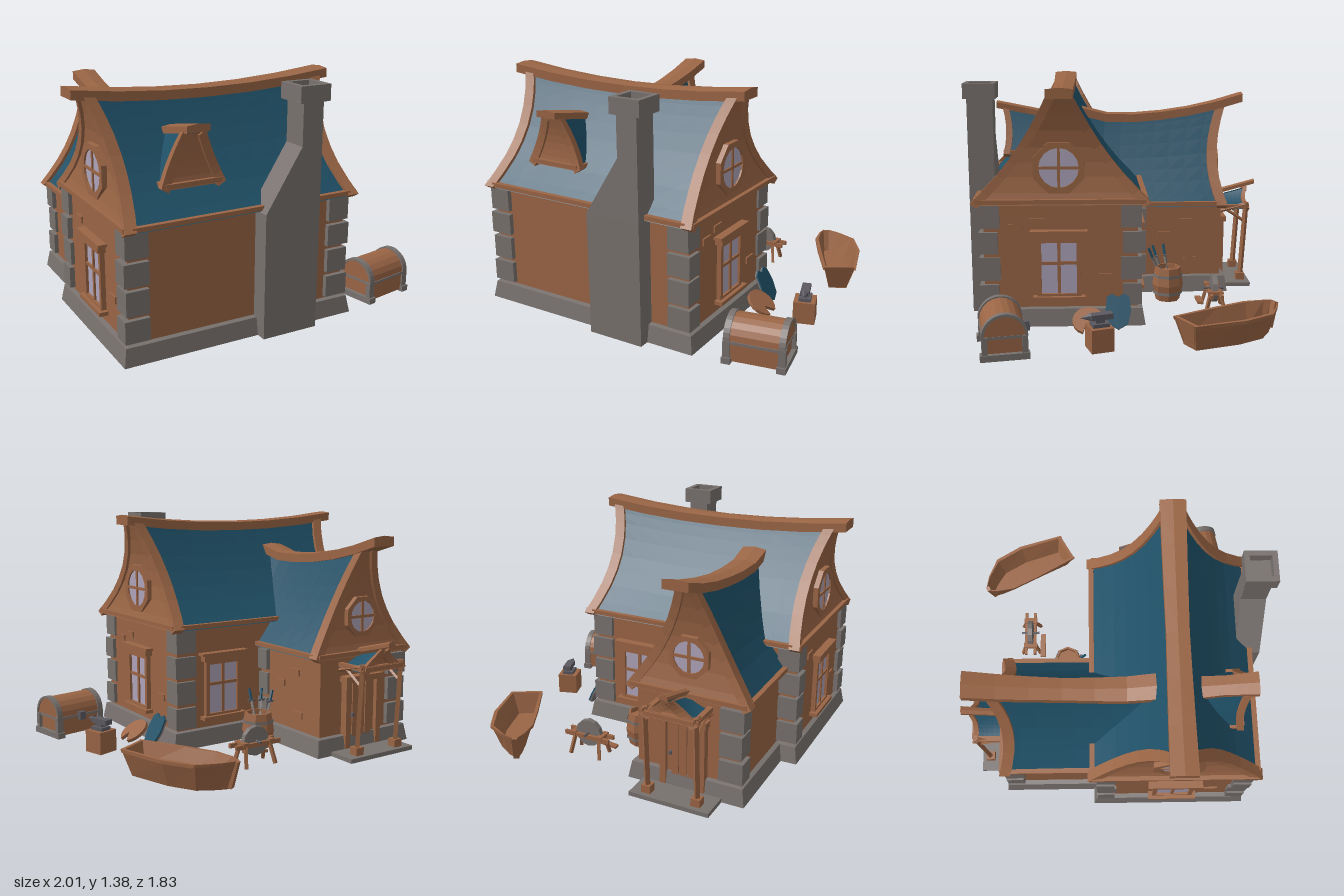
import * as THREE from 'three';

const mat = (name, color) => new THREE.MeshStandardMaterial({ name, color, flatShading: true, side: THREE.DoubleSide });
const wood = mat('wood', 0x9a6545), teal = mat('teal', 0x1f5067), stone = mat('stone', 0x78716e);
const glass = mat('glass', 0xaea4ba), iron = mat('iron', 0x5c5a60);
const V = (x, y, z) => new THREE.Vector3(x, y, z);
const points = list => list.map(p => new THREE.Vector2(...p));

function add(parent, name, geo, m, x = 0, y = 0, z = 0, rx = 0, ry = 0, rz = 0) {
  const mesh = new THREE.Mesh(geo, m);
  mesh.name = name;
  mesh.position.set(x, y, z);
  mesh.rotation.set(rx, ry, rz);
  parent.add(mesh);
  return mesh;
}
const box = (p, name, m, w, h, d, ...at) => add(p, name, new THREE.BoxGeometry(w, h, d), m, ...at);
const slab = (shape, depth) => new THREE.ExtrudeGeometry(shape, { depth, bevelEnabled: false, curveSegments: 8 });
function group(parent, name, x = 0, y = 0, z = 0, ry = 0) {
  const g = new THREE.Group();
  g.name = name;
  g.position.set(x, y, z);
  g.rotation.y = ry;
  parent.add(g);
  return g;
}

// Skins a row of cross-sections
function loft(rings, closed = true, caps = true) {
  const pos = [], n = rings[0].length;
  const tri = (...v) => v.forEach(p => pos.push(p.x, p.y, p.z));
  for (let i = 0; i + 1 < rings.length; i++)
    for (let j = 0; j < (closed ? n : n - 1); j++) {
      const k = (j + 1) % n, a = rings[i][j], b = rings[i][k], c = rings[i + 1][k], d = rings[i + 1][j];
      tri(a, b, c); tri(a, c, d);
    }
  if (closed && caps) for (const [r, flip] of [[rings[0], true], [rings[rings.length - 1], false]])
    for (let j = 1; j + 1 < n; j++) flip ? tri(r[0], r[j + 1], r[j]) : tri(r[0], r[j], r[j + 1]);
  const g = new THREE.BufferGeometry();
  g.setAttribute('position', new THREE.Float32BufferAttribute(pos, 3));
  g.computeVertexNormals();
  return g;
}
const steps = (n, f) => Array.from({ length: n + 1 }, (_, i) => f(i / n));

// Roof slopes: share of half width against share of height
const bell = new THREE.SplineCurve(points([[1, 0], [.7, .26], [.445, .54], [.23, .84], [.13, 1]]));
const straight = new THREE.SplineCurve(points([[1, 0], [.33, 1]]));

// Gable roof with its ridge along local x
function roof(parent, name, o, ...at) {
  const g = group(parent, name, ...at);
  const { x0, x1, half, eave, top, ridge, ends, rw = .075, rh = .06, flare = .06, trim = .065, curve = bell } = o;
  const surf = (t, x, side, off = 0) => {
    const p = curve.getPoint(t);
    return V(x, eave + (top(x) - .04 - eave) * p.y + off * .5, side * (half * p.x + off * .8));
  };
  const end = (e, t) => {
    const x = e < 0 ? x0 : x1;
    return ends.includes(e) ? x + e * flare * ((curve.getPoint(t).y - .45) / .5) ** 2 : x;
  };
  for (const s of [1, -1]) {
    add(g, 'roofSlope', loft(steps(8, t => steps(8, k =>
      surf(t, THREE.MathUtils.lerp(end(-1, t), end(1, t), k), s, -.012))), false), teal);
    box(g, 'eaveBoard', wood, x1 - x0, .025, .03, (x0 + x1) / 2, eave + .012, s * (half - .02));
    for (const e of ends) add(g, 'rakeBoard', loft(steps(8, t => {
      const x = end(e, t), i = x - e * trim;
      return [surf(t, x, s, .008), surf(t, i, s, .008), surf(t, i, s, -.045), surf(t, x, s, -.045)];
    })), wood);
  }
  // Gable panels flare with the rakes
  for (const e of ends) {
    add(g, 'gablePanel', loft(steps(8, t => [1, -1].map(s => surf(t, end(e, t) - e * .015, s, -.02))), false), wood);
    box(g, 'gableSoffit', wood, flare + .02, .025, half * 2 - .04, end(e, 0) - e * (flare + .02) / 2, eave + .012, 0);
  }
  // Sagging ridge beam, wider toward the ends
  add(g, 'ridgeBeam', loft(steps(6, k => {
    const x = THREE.MathUtils.lerp(ridge[0], ridge[1], k), y = top(x), w = rw * (.85 + .15 * Math.abs(2 * k - 1));
    return [V(x, y - rh, w), V(x, y - .008, w), V(x, y, 0), V(x, y - .008, -w), V(x, y - rh, -w)];
  })), wood);
  return g;
}

function rectWindow(parent, ...at) {
  const g = group(parent, 'window', ...at);
  box(g, 'windowGlass', glass, .21, .31, .008, 0, 0, .008);
  for (const s of [-1, 1]) {
    box(g, 'windowJamb', wood, .025, .34, .035, s * .113, 0, .01);
    box(g, 'windowRail', wood, .25, .02, .035, 0, s * .16, .01);
  }
  box(g, 'windowMullion', wood, .018, .32, .02, 0, 0, .012);
  box(g, 'windowCrossbar', wood, .21, .018, .02, 0, .03, .012);
  box(g, 'windowHeader', wood, .29, .035, .06, 0, .19, .015);
  box(g, 'windowCap', wood, .325, .015, .07, 0, .215, .015);
  box(g, 'windowSill', wood, .3, .022, .07, 0, -.175, .015);
}
function roundWindow(parent, r, ...at) {
  const g = group(parent, 'roundWindow', ...at);
  const s = new THREE.Shape(steps(7, k => {
    const a = (k * 7 + .5) * Math.PI / 4;
    return new THREE.Vector2(r * Math.cos(a), r * Math.sin(a));
  }));
  s.holes.push(new THREE.Path().absarc(0, 0, r * .73, 0, Math.PI * 2, true));
  add(g, 'roundFrame', slab(s, .03), wood);
  add(g, 'roundGlass', new THREE.CircleGeometry(r * .75, 16), glass, 0, 0, .02);
  box(g, 'roundMullion', wood, .016, r * 1.46, .014, 0, 0, .021);
  box(g, 'roundCrossbar', wood, r * 1.46, .016, .014, 0, 0, .021);
}

// Corners of the L-shaped plan, grown outward by d
const plan = (d, y) => [
  [-.875, .79, -1, 1], [.45, .79, 1, 1], [.45, -.085, 1, -1], [-.16, -.085, 1, -1],
  [-.16, -.655, 1, -1], [-.78, -.655, -1, -1], [-.78, -.085, -1, -1], [-.875, -.085, -1, -1],
].map(([x, z, sx, sz]) => V(x + sx * d, y, z + sz * d));

function cornerStones(parent, x, z, sx, sz, n) {
  for (let i = 0; i < n; i++) {
    const odd = i % 2, w = odd ? .13 : .14, d = odd ? .12 : .108;
    box(parent, 'cornerStone', stone, w, odd ? .135 : .125, d, x + sx * (.025 - w / 2 - odd * .008), .192 + i * .153, z + sz * (.028 - d / 2));
  }
}
function rod(parent, name, m, a, b, r, sides = 6) {
  const d = b.clone().sub(a), mesh = add(parent, name, new THREE.CylinderGeometry(r, r, d.length(), sides), m);
  mesh.position.copy(a).addScaledVector(d, .5);
  mesh.quaternion.setFromUnitVectors(V(0, 1, 0), d.normalize());
}

export function createModel() {
  const root = new THREE.Group(), R = Math.PI / 2;
  root.name = 'cottage';

  // Open-bottomed walls and stone footing
  const p = plan(0, 0), mainPlan = y => [p[0], p[1], p[2], p[7]].map(v => V(v.x, y, v.z));
  add(root, 'wallShell', loft([plan(0, .01), plan(0, .6)], true, false), wood);
  add(root, 'upperWalls', loft([mainPlan(.6), mainPlan(.74)], true, false), wood);
  add(root, 'footing', loft([plan(0, .01), plan(.045, .01), plan(.028, .11), plan(0, .115)], true, false), stone);

  // Roofs
  roof(root, 'mainRoof', { x0: -.86, x1: .455, half: .5, eave: .73, ridge: [-1, .57], ends: [-1, 1], top: x => 1.333 + .05 * ((x + .2) / .78) ** 2 }, 0, 0, .35);
  roof(root, 'wingRoof', { x0: -.2, x1: .64, half: .365, eave: .58, ridge: [-.25, .82], ends: [1], top: x => 1.14 + (x < 0 ? .8 : .2) * x * x }, -.47, 0, 0, R);
  roof(root, 'dormer', { x0: .45, x1: .725, half: .18, eave: .89, ridge: [.42, .79], ends: [1], rw: .065, rh: .045, flare: .02, trim: .04, curve: straight, top: x => 1.17 + .2 * (x - .52) }, -.47, 0, 0, -R);
  roof(root, 'porchRoof', { x0: .62, x1: .85, half: .165, eave: .52, ridge: [.62, .92], ends: [1], rw: .024, rh: .03, flare: .02, trim: .025, top: x => .62 + .27 * (x - .66) }, -.455, 0, 0, R);

  // Corner stones
  for (const [x, sx] of [[-.88, -1], [.447, 1]]) for (const [z, sz] of [[-.08, -1], [.79, 1]]) cornerStones(root, x, z, sx, sz, 4);
  cornerStones(root, -.78, -.655, -1, -1, 3);
  cornerStones(root, -.16, -.145, 1, -1, 3);

  // Windows
  for (const [x, ry] of [[.45, R], [-.875, -R]]) rectWindow(root, x, .35, .365, ry);
  for (const [x, ry] of [[.446, R], [-.851, -R]]) roundWindow(root, .155, x, .93, .36, ry);
  rectWindow(root, .14, .35, -.085, Math.PI);
  roundWindow(root, .125, -.47, .8, -.632, Math.PI);

  // Loose bricks in the plaster
  for (const [x, y, z] of [[.45, .585, .61], [.45, .62, .49], [.45, .29, .1], [-.16, .465, -.43], [-.16, .38, -.29], [-.16, .21, -.46], [-.875, .6, .14], [-.875, .3, .6]])
    box(root, 'wallBrick', wood, .02, .04, .08, x, y, z);

  // Chimney with a hollow cap
  box(root, 'chimneyBase', stone, .34, .71, .11, .04, .365, .84);
  const stack = new THREE.Shape(points([[-.13, .72], [.21, .72], [.21, 1.32], [.085, 1.32], [.085, 1.06]]));
  add(root, 'chimneyStack', slab(stack, .15), stone, 0, 0, .745);
  for (const s of [-1, 1]) {
    box(root, 'chimneyCap', stone, .03, .09, .185, .147 + s * .078, 1.338, .82);
    box(root, 'chimneyCap', stone, .185, .09, .03, .147, 1.338, .82 + s * .078);
  }

  // Door and porch
  const porch = group(root, 'porch', -.455, 0, -.655);
  box(porch, 'door', wood, .2, .37, .02, 0, .24, -.012);
  for (const x of [-.05, 0, .05]) box(porch, 'doorPlank', wood, .042, .36, .008, x, .24, -.026);
  box(porch, 'doorHeader', wood, .29, .035, .06, 0, .445, -.03);
  box(porch, 'doorKnob', iron, .015, .02, .02, .075, .23, -.035);
  box(porch, 'porchSlab', stone, .48, .025, .17, 0, .022, -.13);
  for (const s of [-1, 1]) {
    box(porch, 'doorJamb', wood, .035, .42, .045, s * .118, .23, -.025);
    rod(porch, 'porchPost', wood, V(s * .15, .03, -.16), V(s * .15, .56, -.19), .018, 4);
    box(porch, 'postFoot', wood, .055, .05, .055, s * .15, .055, -.16);
    rod(porch, 'porchBeam', wood, V(s * .15, .5, 0), V(s * .15, .55, -.2), .014, 4);
    rod(porch, 'porchBrace', wood, V(s * .15, .52, -.05), V(s * .15, .44, -.17), .01, 4);
  }
  box(porch, 'porchCrossbeam', wood, .34, .025, .025, 0, .535, -.19);

  // Iron-bound chest
  const chest = group(root, 'chest', .81, 0, .66, .18);
  box(chest, 'chestBody', wood, .3, .12, .22, 0, .08, 0);
  add(chest, 'chestLid', new THREE.CylinderGeometry(.115, .115, .32, 10, 1, false, 0, Math.PI).rotateZ(R), wood, 0, .135, 0);
  box(chest, 'chestBand', stone, .325, .015, .24, 0, .13, 0);
  for (const s of [-1, 1]) {
    const arch = new THREE.Shape().absarc(0, 0, .122, 0, Math.PI);
    arch.lineTo(-.108, 0);
    arch.absarc(0, 0, .108, Math.PI, 0, true);
    add(chest, 'lidBand', slab(arch, .035).rotateY(R), stone, s * .15 - .0175, .135, 0);
    box(chest, 'chestFoot', stone, .05, .035, .26, s * .15, .025, 0);
    for (const t of [-1, 1]) box(chest, 'chestCorner', stone, .04, .11, .03, s * .15, .08, t * .105);
  }
  box(chest, 'chestLock', iron, .04, .05, .03, 0, .13, -.13);

  // Rowing boat: flared, slightly lopsided hull from a few stations
  const boat = group(root, 'boat', .715, .015, -.585, 2.09);
  const section = (x, c, w, list) => list.map(([a, b]) => V(x * (.87 + .13 * b), .155 * b, c + w * a));
  const skin = [[-1, 1], [-1, .88], [-.9, .86], [-.55, 0], [.55, 0], [.9, .86], [1, .88], [1, 1], [.84, 1], [.5, .14], [-.5, .14], [-.84, 1]];
  add(boat, 'hull', loft([[-.32, 0, .1], [-.03, .035, .135], [.16, .037, .128], [.27, .014, .065], [.32, 0, .018]]
    .map(s => section(...s, skin)), true, false), wood);
  add(boat, 'transom', loft([-.317, -.297].map(x => section(x, 0, .099, [[-.95, 1], [-.55, 0], [.55, 0], [.95, 1]]))), wood);
  box(boat, 'stem', wood, .025, .15, .034, .3, .078, 0, 0, 0, -.25);

  // Anvil on a block
  const anvil = group(root, 'anvil', .84, 0, .14, .3);
  box(anvil, 'anvilBlock', wood, .125, .13, .125, 0, .075, 0);
  box(anvil, 'anvilBase', iron, .07, .02, .09, 0, .15, 0);
  box(anvil, 'anvilWaist', iron, .035, .025, .05, 0, .17, 0);
  box(anvil, 'anvilTop', iron, .05, .03, .12, 0, .193, -.01);
  add(anvil, 'anvilHorn', new THREE.ConeGeometry(.022, .06, 6), iron, 0, .195, .08, R);

  // Shields by the wall
  const face = new THREE.Shape(points([[0, -.105], [.055, -.075], [.073, 0], [.065, .08], [.035, .1], [0, .08], [-.035, .1], [-.065, .08], [-.073, 0], [-.055, -.075]]));
  const shield = group(root, 'shield', .53, .108, .03);
  shield.rotation.set(-.5, R, 0, 'YXZ');
  add(shield, 'shieldBack', slab(face, .01), stone);
  add(shield, 'shieldFace', slab(face, .009), teal, 0, 0, .01);
  const disc = new THREE.Shape().absarc(0, 0, .09, .45, Math.PI * 2 - .35);
  disc.lineTo(.025, -.015);
  const broken = group(root, 'brokenShield', .585, .068, .2);
  broken.rotation.z = -.6;
  add(broken, 'brokenShieldBoards', slab(disc, .02).rotateX(-R), wood);

  // Barrel of weapons
  const barrel = group(root, 'barrel', .02, 0, -.3);
  const stave = points([[.001, .01], [.075, .01], [.097, .11], [.08, .22], [.068, .22], [.068, .19], [.001, .19]]);
  add(barrel, 'barrelStaves', new THREE.LatheGeometry(stave, 8), wood);
  for (const y of [.06, .17]) add(barrel, 'barrelHoop', new THREE.CylinderGeometry(.093, .093, .018, 8, 1, true), stone, 0, y, 0);
  for (const [x, z, dx, dz] of [[-.03, .02, -.06, .07], [-.01, .03, -.01, .09], [-.04, -.01, -.08, .03]]) {
    const a = V(x, .12, z), b = V(x + dx * .7, .27, z + dz * .7), c = V(x + dx, .335, z + dz);
    rod(barrel, 'weaponBlade', stone, a, b, .01, 4);
    rod(barrel, 'weaponGrip', teal, b, c, .009, 5);
    box(barrel, 'weaponGuard', iron, .045, .01, .015, b.x, b.y, b.z);
  }

  // Grindstone on a trestle
  const grind = group(root, 'grindstone', .23, 0, -.56);
  add(grind, 'grindWheel', new THREE.CylinderGeometry(.085, .085, .032, 12).rotateX(R), stone, 0, .145, 0);
  rod(grind, 'grindAxle', iron, V(0, .145, -.06), V(0, .145, .06), .008);
  for (const s of [-1, 1]) {
    box(grind, 'grindRail', wood, .3, .025, .018, 0, .13, s * .03);
    box(grind, 'railTie', wood, .035, .02, .09, s * .09, .14, 0);
    for (const t of [-1, 1]) rod(grind, 'grindLeg', wood, V(s * .08, .13, t * .03), V(s * .1, .01, t * .06), .013, 4);
  }
  box(grind, 'footPlank', wood, .16, .015, .035, -.06, .05, .08, 0, 0, .1);
  return root;
}
